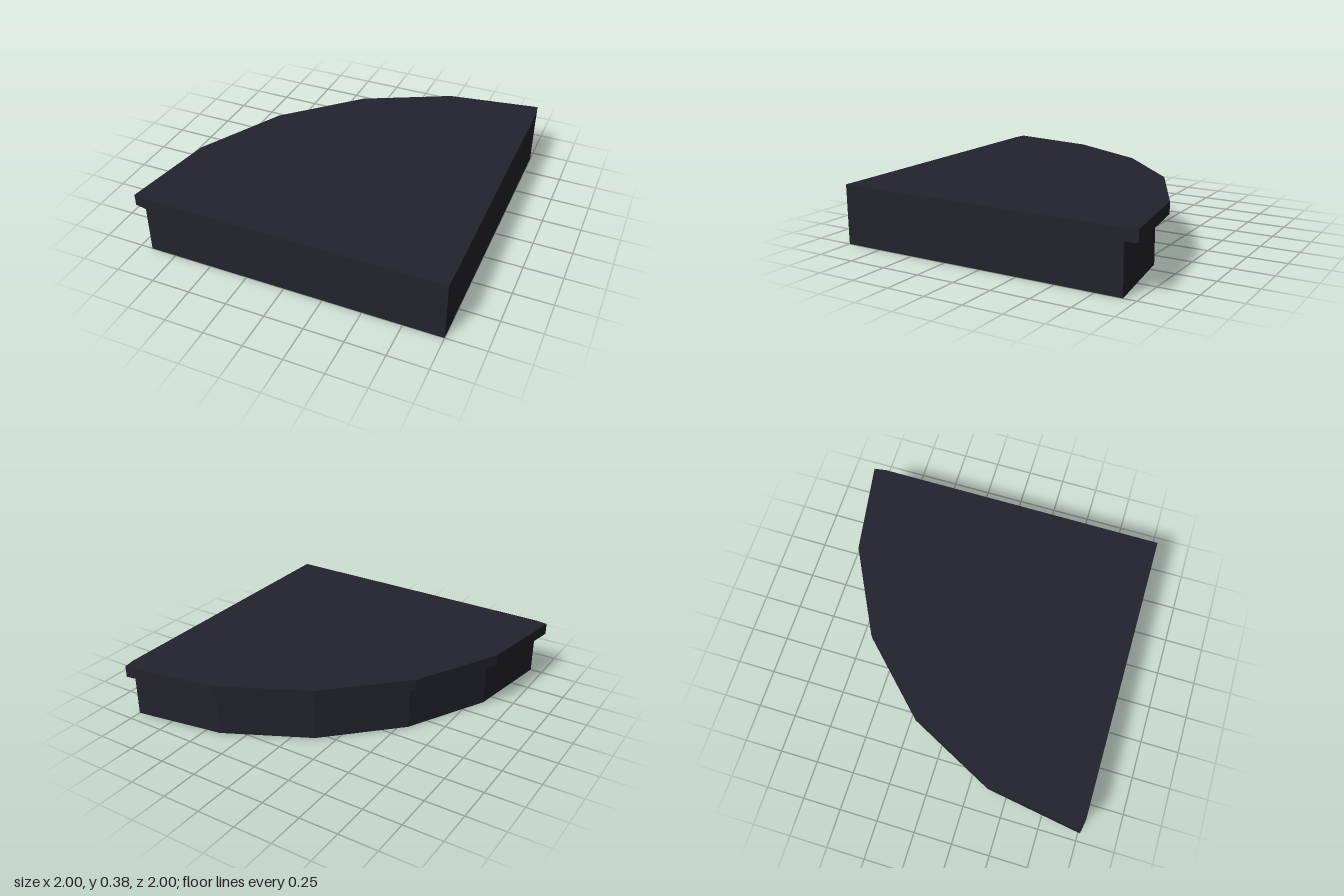
import * as THREE from 'three';

const HEIGHT = 0.385, RIM_HEIGHT = 0.075, RADIUS = 1.92, OVERHANG = 0.08, SEGMENTS = 5;
const STEP = Math.PI / 2 / SEGMENTS;

// Point around the square corner at (1, z = 1); shape y is -z.
const polar = (radius, angle) =>
  new THREE.Vector2(1 - radius * Math.cos(angle), -1 + radius * Math.sin(angle));

// Flat outline extruded upwards from a base height.
function slab(name, points, base, height, material) {
  const geometry = new THREE.ExtrudeGeometry(new THREE.Shape(points), { depth: height, bevelEnabled: false });
  geometry.rotateX(-Math.PI / 2).translate(0, base, 0);
  const mesh = new THREE.Mesh(geometry, material);
  mesh.name = name;
  return mesh;
}

export function createModel() {
  const group = new THREE.Group();
  group.name = 'quarterRoundPlatform';
  const dark = new THREE.MeshStandardMaterial({ color: 0x23232d });
  dark.name = 'dark slate';

  const inner = [], outer = [];
  for (let i = 0; i <= SEGMENTS; i++) {
    const p = polar(RADIUS, i * STEP);
    inner.push(p);
    // Rim is offset square to each facet and mitred where facets meet.
    const end = i === 0 || i === SEGMENTS;
    const angle = i === 0 ? STEP / 2 : i === SEGMENTS ? Math.PI / 2 - STEP / 2 : i * STEP;
    const offset = end ? OVERHANG : OVERHANG / Math.cos(STEP / 2);
    outer.push(new THREE.Vector2(p.x - offset * Math.cos(angle), p.y + offset * Math.sin(angle)));
  }

  // Quarter-round body
  group.add(slab('body', [new THREE.Vector2(1, -1), ...inner], 0, HEIGHT, dark));
  // Overhanging rim along the curved side
  group.add(slab('rim', [...inner, ...outer.reverse()], HEIGHT - RIM_HEIGHT, RIM_HEIGHT, dark));
  return group;
}
